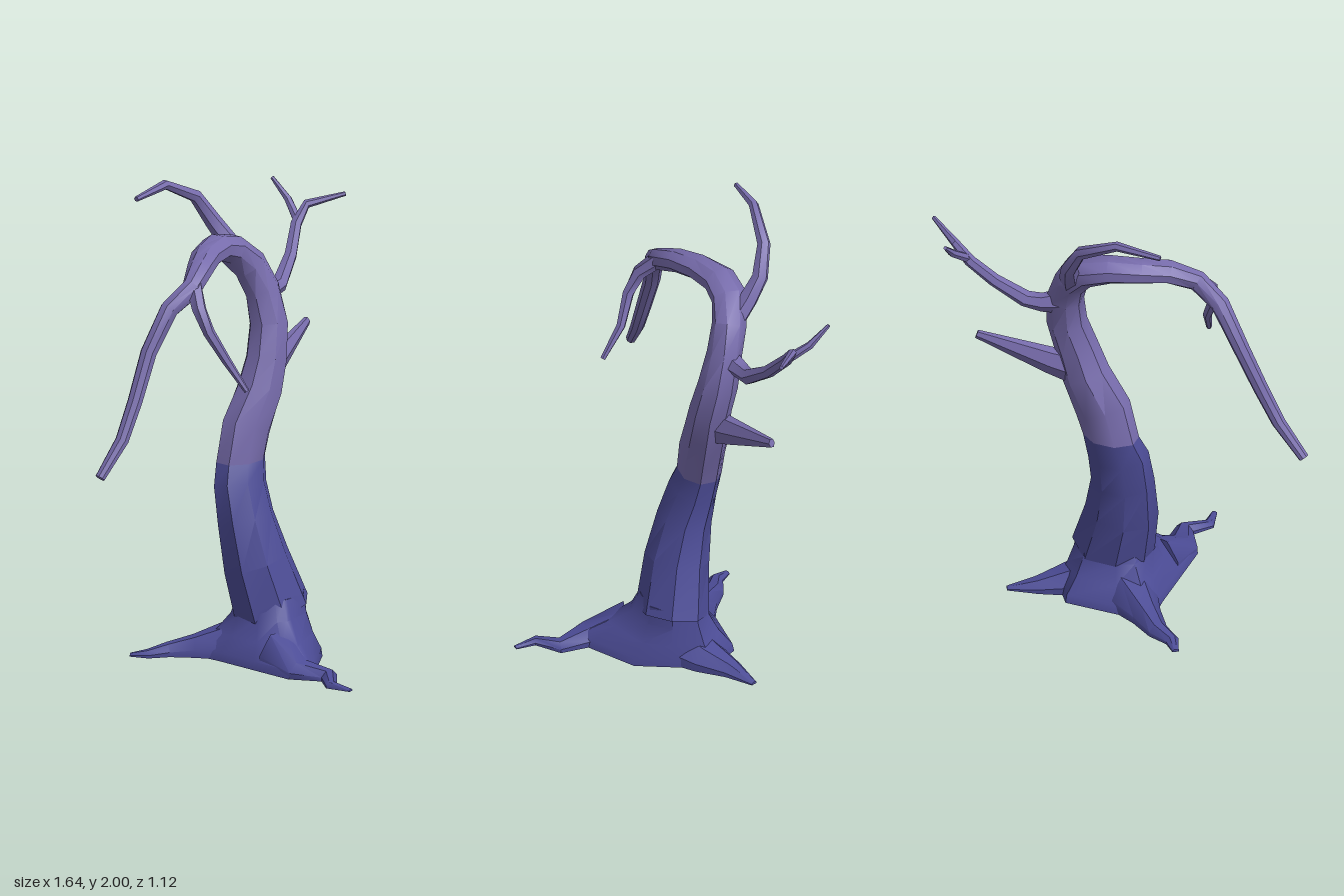
import * as THREE from 'three';
import { toCreasedNormals } from 'three/addons/utils/BufferGeometryUtils.js';

const lowerBark = new THREE.MeshStandardMaterial({ color: 0x4c4c96 });
lowerBark.name = 'dark blue bark';
const upperBark = new THREE.MeshStandardMaterial({ color: 0x776cac });
upperBark.name = 'pale violet bark';

// Skin a list of rings (arrays of Vector3), with optional end caps
function loft(rings, capStart, capEnd) {
  const n = rings[0].length;
  const pos = [];
  const tri = (...pts) => pts.forEach(p => pos.push(p.x, p.y, p.z));
  for (let i = 0; i < rings.length - 1; i++) {
    for (let j = 0; j < n; j++) {
      const k = (j + 1) % n;
      tri(rings[i][j], rings[i][k], rings[i + 1][k]);
      tri(rings[i][j], rings[i + 1][k], rings[i + 1][j]);
    }
  }
  const cap = (ring, flip) => {
    const c = ring.reduce((s, p) => s.add(p), new THREE.Vector3()).divideScalar(n);
    for (let j = 0; j < n; j++) {
      const k = (j + 1) % n;
      if (flip) tri(c, ring[k], ring[j]);
      else tri(c, ring[j], ring[k]);
    }
  };
  if (capStart) cap(rings[0], true);
  if (capEnd) cap(rings[rings.length - 1], false);
  const g = new THREE.BufferGeometry();
  g.setAttribute('position', new THREE.Float32BufferAttribute(pos, 3));
  return toCreasedNormals(g, 0.7);
}

// Rings along a path of [x, y, z, radius, depth radius]; never below the ground
function limbRings(path, sides, ref) {
  const pts = path.map(p => new THREE.Vector3(p[0], p[1], p[2]));
  return path.map(([, , , r, d = r], i) => {
    const a = pts[Math.max(i - 1, 0)], b = pts[Math.min(i + 1, pts.length - 1)];
    const t = b.clone().sub(a).normalize();
    const v = ref.clone().addScaledVector(t, -ref.dot(t)).normalize();
    const u = v.clone().cross(t);
    return Array.from({ length: sides }, (_, j) => {
      const ang = (j + 0.5) / sides * Math.PI * 2;
      const p = pts[i].clone()
        .addScaledVector(u, Math.cos(ang) * r * 1.04)
        .addScaledVector(v, Math.sin(ang) * d * 1.04);
      p.y = Math.max(p.y, 0);
      return p;
    });
  });
}

export function createModel() {
  const tree = new THREE.Group();
  tree.name = 'bareTree';
  const add = (name, geometry, material) => {
    const mesh = new THREE.Mesh(geometry, material);
    mesh.name = name;
    tree.add(mesh);
  };
  const Y = new THREE.Vector3(0, 1, 0), Z = new THREE.Vector3(0, 0, 1);

  // Trunk that leans, arches over and droops to a tip
  const trunk = limbRings([
    [0.10, 0.18, -0.06, 0.17, 0.145],
    [0.045, 0.40, -0.10, 0.15, 0.127],
    [0.025, 0.58, -0.14, 0.13, 0.107],
    [0.03, 0.72, -0.175, 0.127, 0.092],
    [0.055, 0.82, -0.195, 0.12, 0.087],
    [0.09, 0.95, -0.195, 0.118, 0.088],
    [0.17, 1.10, -0.19, 0.10, 0.09],
    [0.21, 1.22, -0.19, 0.09, 0.083],
    [0.247, 1.36, -0.21, 0.082, 0.08],
    [0.24, 1.50, -0.24, 0.075, 0.07],
    [0.20, 1.61, -0.275, 0.07, 0.07],
    [0.12, 1.69, -0.305, 0.062, 0.075],
    [0.02, 1.72, -0.295, 0.055, 0.07],
    [-0.10, 1.715, -0.25, 0.05, 0.062],
    [-0.20, 1.70, -0.19, 0.047, 0.055],
    [-0.31, 1.65, -0.14, 0.045, 0.04],
    [-0.42, 1.58, -0.165, 0.04, 0.038],
    [-0.52, 1.41, -0.19, 0.034],
    [-0.61, 1.22, -0.185, 0.031],
    [-0.69, 1.07, -0.185, 0.028],
    [-0.81, 0.93, -0.20, 0.021],
  ], 8, Z);
  // Level the colour seam
  trunk[4].forEach(p => { p.y = 0.82; });
  add('lowerTrunk', loft(trunk.slice(0, 5), false, false), lowerBark);
  add('upperTrunk', loft(trunk.slice(4), false, true), upperBark);

  // Flared base: ground outline blended into the trunk section
  const outline = [
    [0.22, -0.29], [0, -0.29], [-0.16, -0.28], [-0.15, -0.13], [-0.15, 0.06],
    [-0.15, 0.26], [-0.07, 0.32], [0, 0.27], [0.19, 0.14], [0.25, 0], [0.31, -0.16],
  ];
  const c = { x: 0.1, z: -0.06 };
  const base = [[0, 0], [0.06, 0.035], [0.5, 0.10], [0.85, 0.18], [1, 0.26]].map(([f, y]) =>
    outline.map(([x, z]) => {
      const a = Math.atan2(z - c.z, x - c.x);
      return new THREE.Vector3(
        THREE.MathUtils.lerp(x, c.x + Math.cos(a) * 0.155, f), y,
        THREE.MathUtils.lerp(z, c.z + Math.sin(a) * 0.13, f));
    }));
  add('rootFlare', loft(base, true, true), lowerBark);

  // Roots, flattened on the ground
  const roots = {
    frontRoot: [[-0.04, 0, 0.10, 0.10, 0.15], [-0.075, 0, 0.26, 0.075, 0.065],
      [-0.04, 0, 0.385, 0.042, 0.042], [-0.115, 0, 0.465, 0.026, 0.026], [-0.10, 0, 0.56, 0.012, 0.01]],
    leftRoot: [[0.15, 0, -0.10, 0.13, 0.14], [0.27, 0, -0.16, 0.09, 0.09],
      [0.37, 0, -0.23, 0.05, 0.05], [0.485, 0, -0.285, 0.014, 0.012]],
    backRoot: [[-0.02, 0, -0.17, 0.12, 0.14], [-0.14, 0, -0.28, 0.065, 0.08],
      [-0.22, 0, -0.355, 0.045, 0.05], [-0.30, 0, -0.395, 0.03, 0.03], [-0.34, 0, -0.455, 0.014, 0.012]],
  };
  for (const [name, path] of Object.entries(roots)) {
    add(name, loft(limbRings(path, 8, Y), true, true), lowerBark);
  }

  // Branches and twigs
  const branches = {
    topBranch: [[0.20, 1.58, -0.27, 0.045], [0.17, 1.70, -0.37, 0.04], [0.145, 1.78, -0.43, 0.034],
      [0.08, 1.895, -0.47, 0.027], [-0.09, 1.98, -0.485, 0.02], [-0.28, 1.962, -0.475, 0.011]],
    sideBranch: [[0.24, 1.48, -0.25, 0.052], [0.33, 1.468, -0.28, 0.038], [0.40, 1.475, -0.29, 0.034],
      [0.52, 1.565, -0.335, 0.027], [0.61, 1.67, -0.385, 0.024], [0.675, 1.742, -0.385, 0.018],
      [0.81, 1.775, -0.29, 0.009]],
    sideTwig: [[0.62, 1.68, -0.385, 0.019], [0.655, 1.75, -0.47, 0.016], [0.65, 1.828, -0.555, 0.008]],
    brokenStub: [[0.21, 1.13, -0.21, 0.075, 0.05], [0.31, 1.16, -0.24, 0.06, 0.042],
      [0.605, 1.265, -0.32, 0.019, 0.014]],
    droopingBranch: [[-0.29, 1.67, -0.15, 0.036], [-0.34, 1.58, -0.07, 0.03], [-0.335, 1.49, -0.02, 0.024],
      [-0.285, 1.37, 0.03, 0.019], [-0.255, 1.245, 0.12, 0.011]],
  };
  for (const [name, path] of Object.entries(branches)) {
    add(name, loft(limbRings(path, 6, Z), true, true), upperBark);
  }
  return tree;
}
